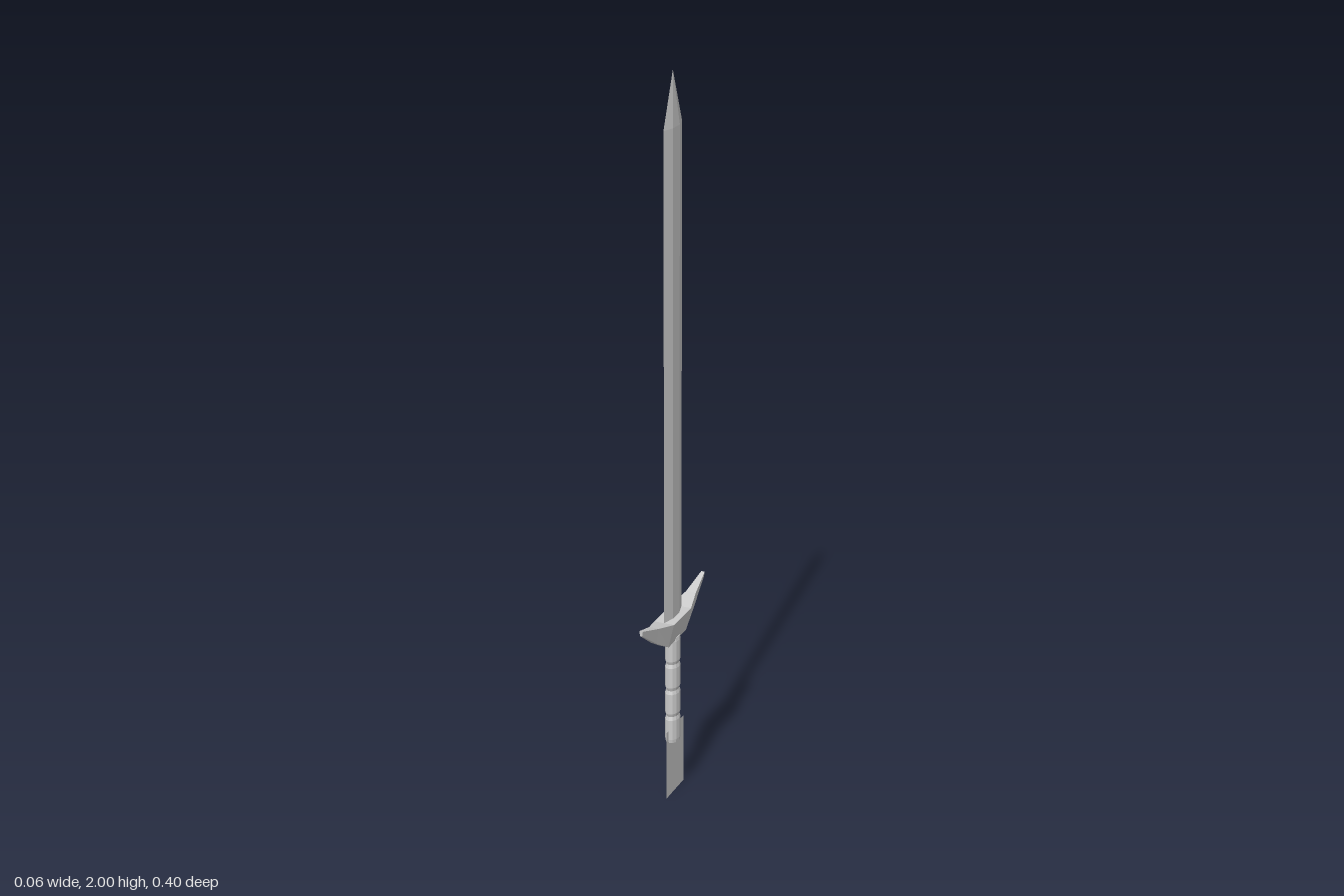
import * as THREE from 'three';

// Skin a list of cross-sections (counter-clockwise about the loft direction) and cap both ends
function loft(name, rings) {
  const pos = [];
  const tri = (a, b, c) => pos.push(...a, ...b, ...c);
  const n = rings[0].length;
  for (let i = 0; i < rings.length - 1; i++) {
    for (let j = 0; j < n; j++) {
      const k = (j + 1) % n;
      const a = rings[i][j], b = rings[i][k], c = rings[i + 1][k], d = rings[i + 1][j];
      tri(a, b, c);
      tri(a, c, d);
    }
  }
  const first = rings[0], last = rings[rings.length - 1];
  for (let j = 1; j < n - 1; j++) {
    tri(first[0], first[j + 1], first[j]);
    tri(last[0], last[j], last[j + 1]);
  }
  const geo = new THREE.BufferGeometry();
  geo.setAttribute('position', new THREE.Float32BufferAttribute(pos, 3));
  geo.computeVertexNormals();
  const mesh = new THREE.Mesh(geo, new THREE.MeshStandardMaterial({ color: 0xcccccc, flatShading: true }));
  mesh.name = name;
  return mesh;
}

export function createModel() {
  const sword = new THREE.Group();
  sword.name = 'sword';

  // Blade: thin hexagonal section, running up to a point
  const bladeRing = (y, s) => [
    [0, 0.056], [0.01, 0.02], [0.01, -0.02], [0, -0.056], [-0.01, -0.02], [-0.01, 0.02],
  ].map(([x, z]) => [x * s, y, z * s]);
  sword.add(loft('blade', [bladeRing(0.5, 1), bladeRing(1.86, 1), bladeRing(2, 0.001)]));

  // Guard: upswept arms, wider on top than below; [z, bottom y, top y, bottom half width, top half width]
  const arm = [
    [0.056, 0.467, 0.535, 0.013, 0.028],
    [0.12, 0.505, 0.55, 0.008, 0.014],
    [0.2, 0.562, 0.576, 0.003, 0.005],
  ];
  const stations = [...arm.map(([z, ...r]) => [-z, ...r]).reverse(), ...arm];
  sword.add(loft('guard', stations.map(([z, y0, y1, b, t]) =>
    [[-b, y0, z], [b, y0, z], [t, y1, z], [-t, y1, z]])));

  // Grip: oval handle with narrow grooves between four wrapped bands
  const gripRing = (y, s) => Array.from({ length: 12 }, (_, i) => {
    const a = (i / 12) * Math.PI * 2;
    return [Math.sin(a) * 0.019 * s, y, Math.cos(a) * 0.028 * s];
  });
  const gripRings = [];
  const bands = 4, y0 = 0.163, step = (0.475 - y0) / bands;
  for (let i = 0; i < bands; i++) {
    const y = y0 + i * step;
    gripRings.push(gripRing(y, i ? 0.86 : 0.94), gripRing(y + 0.01, 1), gripRing(y + step - 0.01, 1));
  }
  gripRings.push(gripRing(y0 + bands * step, 0.9));
  sword.add(loft('grip', gripRings));

  // Flat tag hanging below the grip
  const tag = new THREE.Mesh(
    new THREE.PlaneGeometry(0.112, 0.2),
    new THREE.MeshStandardMaterial({ color: 0xcccccc, side: THREE.DoubleSide }),
  );
  tag.name = 'pommelTag';
  tag.rotation.y = Math.PI / 2;
  tag.position.set(0, 0.1, -0.015);
  sword.add(tag);

  return sword;
}
